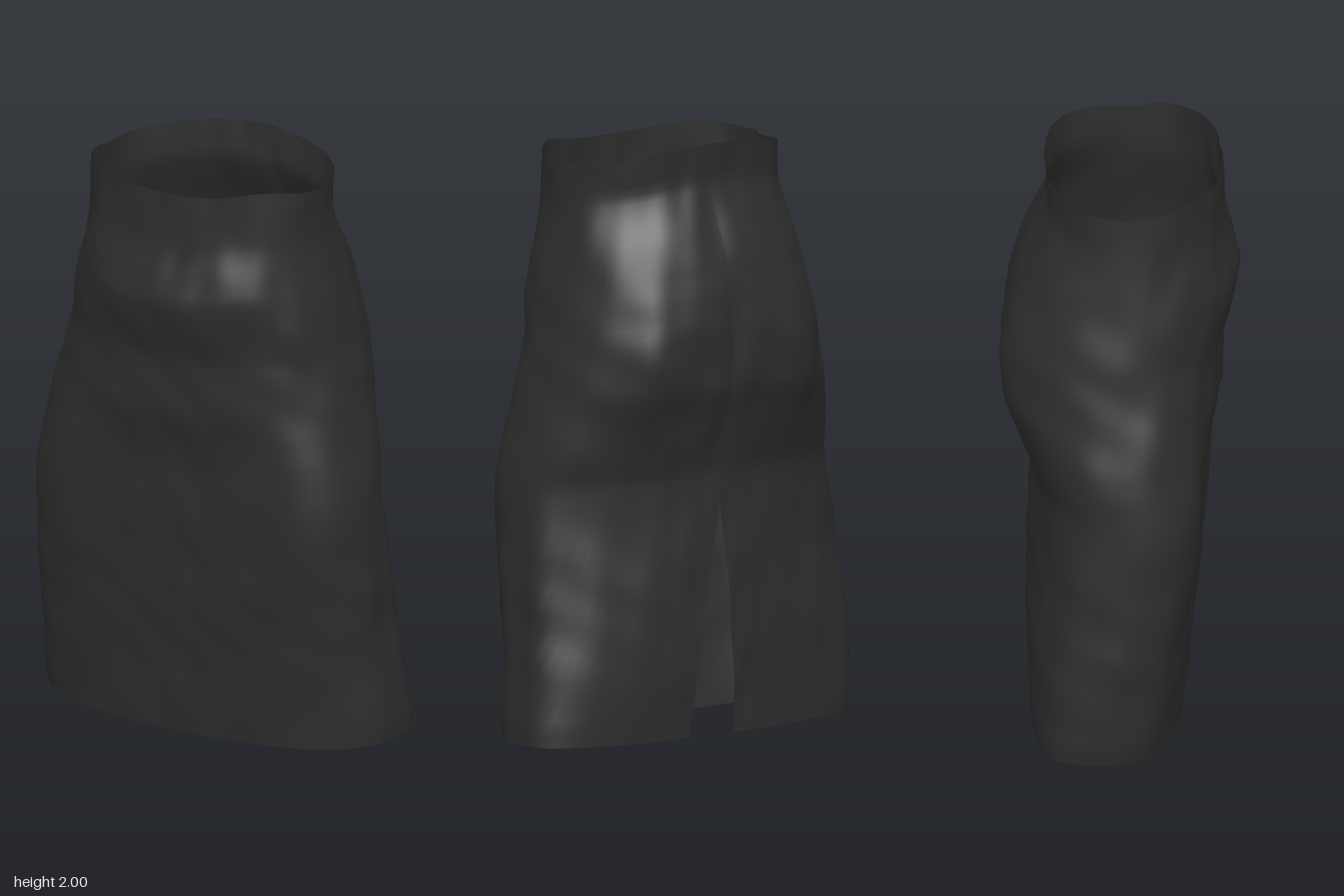
import * as THREE from 'three';

// Cross-sections: height, -x reach, +x reach, front z, back z, z of widest point, front and back squareness
const SECTIONS = [
  [0.00, 0.640, 0.645, 0.215, -0.280, -0.08, 3.0, 2.9],
  [0.06, 0.652, 0.645, 0.222, -0.285, -0.08, 3.0, 2.8],
  [0.20, 0.655, 0.625, 0.235, -0.295, -0.07, 3.2, 2.5],
  [0.40, 0.648, 0.607, 0.255, -0.303, -0.05, 3.5, 2.2],
  [0.60, 0.638, 0.602, 0.275, -0.302, -0.02, 3.8, 2.0],
  [0.80, 0.625, 0.592, 0.288, -0.295, 0.00, 4.0, 2.0],
  [0.90, 0.617, 0.583, 0.294, -0.292, 0.01, 3.8, 2.0],
  [1.00, 0.605, 0.570, 0.300, -0.318, 0.01, 3.4, 2.1],
  [1.10, 0.586, 0.550, 0.315, -0.345, 0.01, 2.9, 2.2],
  [1.20, 0.560, 0.525, 0.335, -0.380, 0.01, 2.6, 2.3],
  [1.40, 0.510, 0.485, 0.345, -0.384, 0.01, 2.4, 2.4],
  [1.52, 0.488, 0.472, 0.375, -0.368, 0.02, 2.3, 2.4],
  [1.62, 0.468, 0.450, 0.395, -0.342, 0.03, 2.2, 2.4],
  [1.70, 0.452, 0.430, 0.378, -0.310, 0.04, 2.2, 2.5],
  [1.80, 0.432, 0.412, 0.350, -0.262, 0.06, 2.1, 2.5],
  [1.87, 0.424, 0.407, 0.342, -0.235, 0.07, 2.1, 2.5],
  [2.00, 0.418, 0.405, 0.338, -0.245, 0.07, 2.1, 2.5],
];
const SLIT_TOP = 0.8, ROWS = 64, COLS = 112;

function sectionAt(y) {
  let k = 0;
  while (k < SECTIONS.length - 2 && SECTIONS[k + 1][0] < y) k++;
  const a = SECTIONS[k], b = SECTIONS[k + 1];
  const t = (y - a[0]) / (b[0] - a[0]);
  return a.map((v, i) => v + (b[i] - v) * t);
}

const bell = (d, width) => Math.exp(-(d * d) / (width * width));

// Soft cloth creases, mostly slanting across the body
function wrinkle(th, y) {
  const drape = 0.0022 * Math.sin(4 * th + 17 * y + 2 * Math.sin(3 * th))
    + 0.002 * Math.sin(9 * th - 23 * y + 1.5 * Math.sin(7 * y))
    + 0.0015 * Math.sin(19 * th + 9 * y);
  // Long vertical folds at the lower sides
  const side = bell(Math.abs(Math.sin(th)) - 1, 0.12) * bell(y - 0.45, 0.35);
  return drape + 0.007 * side * Math.sin(22 * th + 2 * y);
}

function clothPoint(th, y) {
  const [, left, right, front, back, mid, nf, nb] = sectionAt(y);
  const s = Math.sin(th), c = -Math.cos(th);
  const a = s < 0 ? left : right;
  const b = c > 0 ? front - mid : mid - back;
  const n = c > 0 ? nf : nb;
  const r = Math.pow(Math.pow(Math.abs(s) / a, n) + Math.pow(Math.abs(c) / b, n), -1 / n) + wrinkle(th, y);
  const x = r * s;
  let z = mid + r * c;
  if (c < 0) {
    z += 0.012 * bell(x, 0.04) * bell(y - 1.3, 0.4);                  // centre back seam
    z -= 0.034 * bell(Math.abs(x) - 0.3, 0.1) * bell(y - 1.32, 0.2);  // fullness of the seat
    z += 0.012 * bell(Math.abs(x) - 0.38, 0.15) * bell(y - 0.7, 0.25); // hollows below the hips
  } else {
    z += 0.018 * bell(Math.abs(x) - 0.44, 0.08) * bell(y - 0.85, 0.25); // front of the thighs
  }
  // Hem rises a little to the back, waist dips at the front and sides
  const hem = 0.004 + 0.013 * (1 - c) + 0.018 * Math.pow(Math.abs(s), 6);
  const rim = c > 0
    ? 1.94 + 0.028 * bell(Math.abs(x) - 0.3, 0.12)
    : 1.94 + 0.06 * c * c;
  return [x, hem + (y / 2) * (rim - hem), z];
}

// Open strip of cloth that starts and ends at the centre back, parting below the slit
function clothGeometry() {
  const pos = [], idx = [];
  for (let i = 0; i <= ROWS; i++) {
    const y = 2 * i / ROWS;
    const open = Math.max(0, 1 - y / SLIT_TOP);
    const start = 0.52 * open, end = 2 * Math.PI - 0.33 * open;
    for (let j = 0; j <= COLS; j++) {
      pos.push(...clothPoint(start + (end - start) * j / COLS, y));
    }
  }
  for (let i = 0; i < ROWS; i++) {
    for (let j = 0; j < COLS; j++) {
      const a = i * (COLS + 1) + j, b = a + 1, c = a + COLS + 1, d = c + 1;
      idx.push(a, c, b, b, c, d);
    }
  }
  const g = new THREE.BufferGeometry();
  g.setAttribute('position', new THREE.Float32BufferAttribute(pos, 3));
  g.setIndex(idx);
  g.computeVertexNormals();
  return g;
}

export function createModel() {
  const group = new THREE.Group();
  group.name = 'pencilSkirt';
  const cloth = new THREE.MeshStandardMaterial({ color: 0x2d2d2d, side: THREE.DoubleSide });
  cloth.name = 'charcoalCloth';
  const skirt = new THREE.Mesh(clothGeometry(), cloth);
  skirt.name = 'skirtCloth';
  group.add(skirt);
  return group;
}
